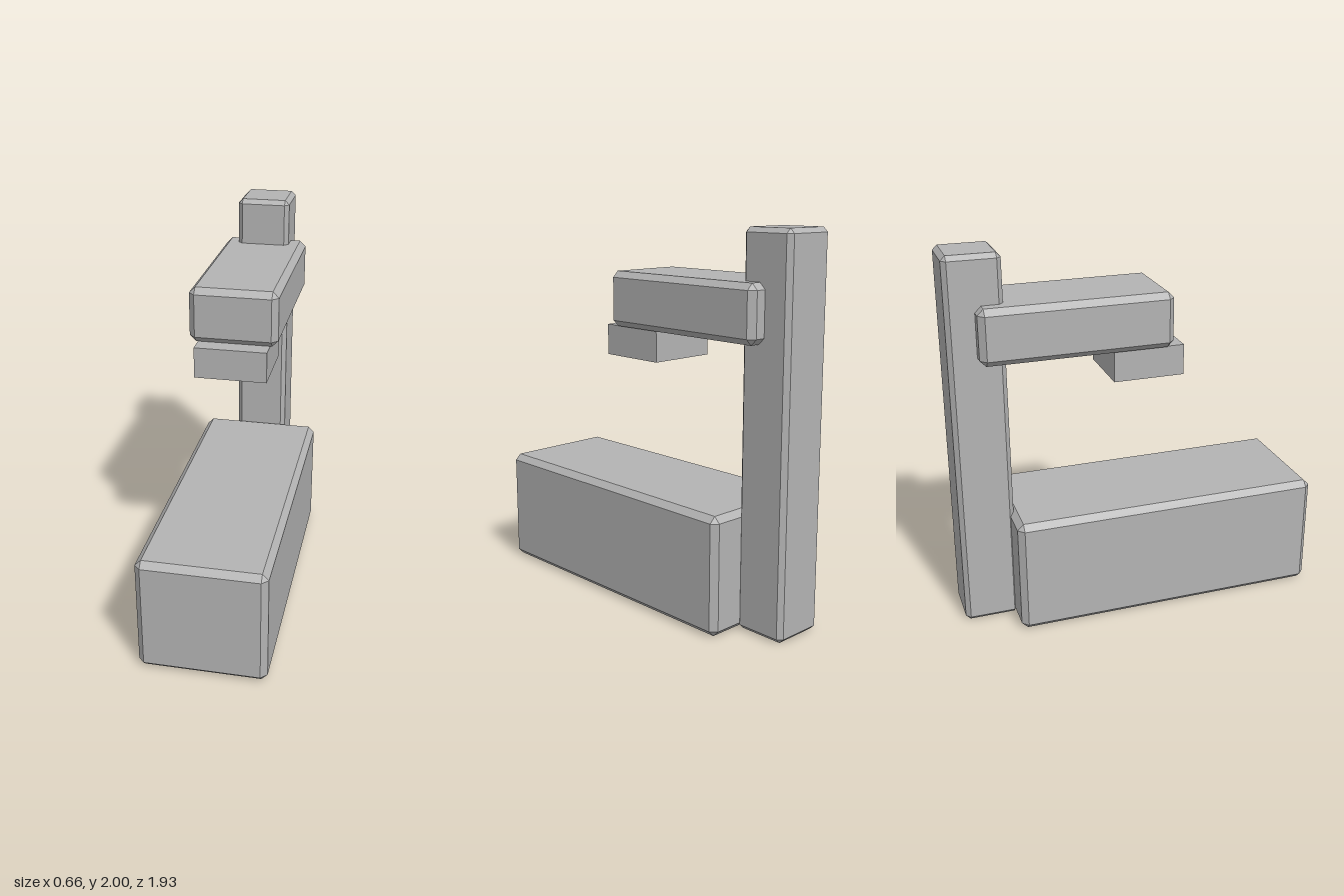
import * as THREE from 'three';
import { ConvexGeometry } from 'three/addons/geometries/ConvexGeometry.js';

// Box with straight 45 degree chamfers along every edge
function chamferBox(w, h, d, c) {
  const half = [w / 2, h / 2, d / 2];
  const points = [];
  for (const sx of [-1, 1]) for (const sy of [-1, 1]) for (const sz of [-1, 1]) {
    for (let axis = 0; axis < 3; axis++) {
      const p = [sx, sy, sz].map((s, i) => s * (half[i] - (i === axis ? 0 : c)));
      points.push(new THREE.Vector3(...p));
    }
  }
  return new ConvexGeometry(points);
}

export function createModel() {
  const model = new THREE.Group();
  const grey = new THREE.MeshStandardMaterial({ color: 0xb3b3b3 });
  grey.name = 'plain grey';

  // Block centred on x, given by its width and its y and z ranges
  function block(name, w, [y0, y1], [z0, z1], chamfer) {
    const h = y1 - y0, d = z1 - z0;
    const geometry = chamfer ? chamferBox(w, h, d, chamfer) : new THREE.BoxGeometry(w, h, d);
    const mesh = new THREE.Mesh(geometry, grey);
    mesh.name = name;
    mesh.position.set(0, (y0 + y1) / 2, (z0 + z1) / 2);
    model.add(mesh);
  }

  block('base', 0.66, [0, 0.624], [-0.698, 0.966], 0.032);
  block('column', 0.288, [0, 2], [-0.966, -0.678], 0.024);
  block('arm', 0.46, [1.46, 1.75], [-0.822, 0.178], 0.032);
  block('head', 0.376, [1.297, 1.46], [-0.137, 0.241], 0);

  return model;
}
